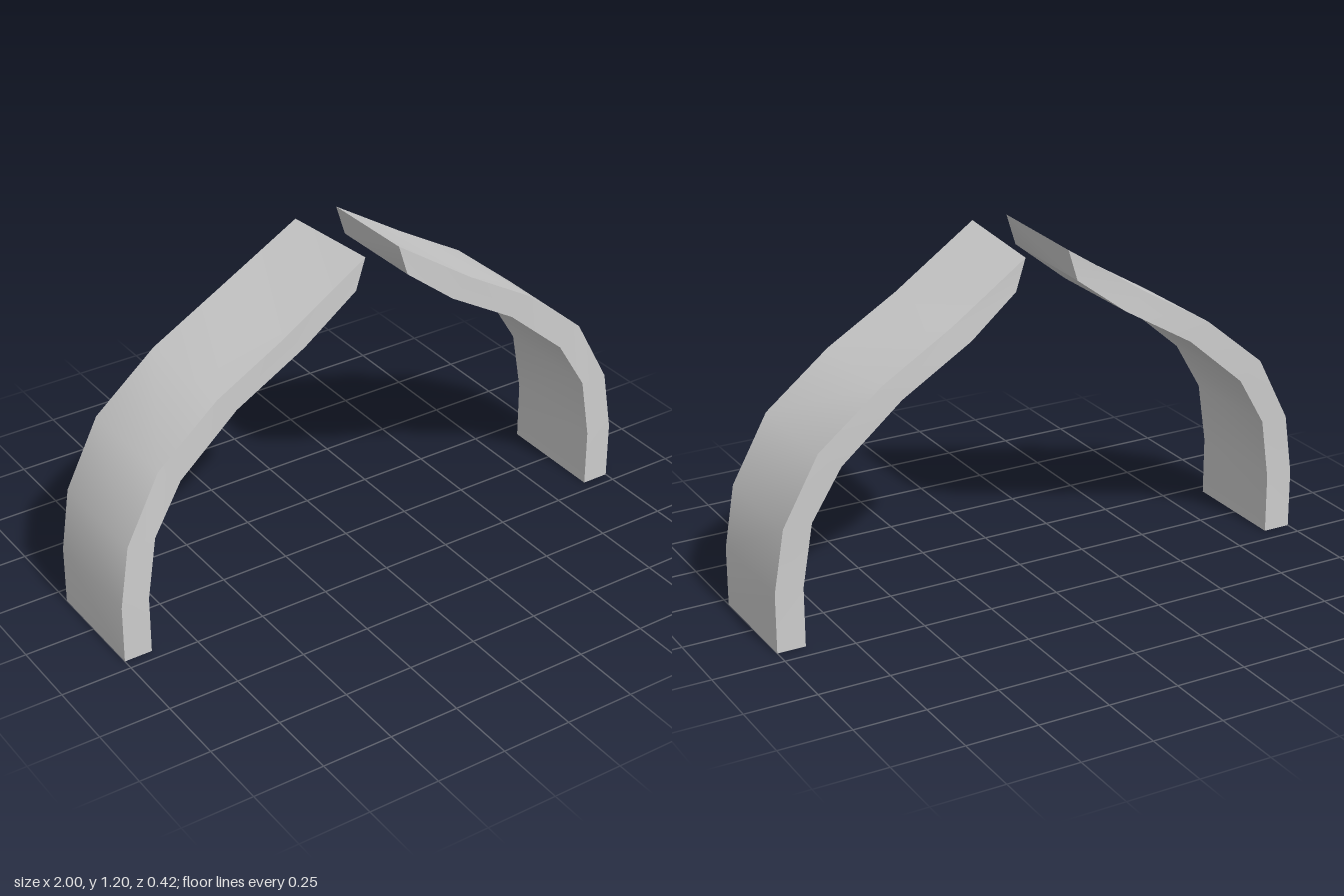
import * as THREE from 'three';
import { toCreasedNormals } from 'three/addons/utils/BufferGeometryUtils.js';

// Cross-sections from foot to tip: outer x, y, inner x, y, front z, back z
const SECTIONS = [
  [1.0, 0, 0.9, 0, 0.21, -0.19],
  [1.0, 0.21, 0.9, 0.21, 0.21, -0.19],
  [0.965, 0.43, 0.865, 0.43, 0.207, -0.195],
  [0.84, 0.665, 0.76, 0.605, 0.2, -0.203],
  [0.615, 0.85, 0.545, 0.79, 0.195, -0.207],
  [0.36, 1.0, 0.29, 0.94, 0.2, -0.2],
  [0.065, 1.2, 0.1, 1.09, 0.208, -0.178],
];

// One curved rectangular beam; side is +1 (left) or -1 (right)
function archHalf(side) {
  const positions = [];
  const indices = [];
  const tri = (a, b, c) => (side > 0 ? indices.push(a, b, c) : indices.push(a, c, b));
  const quad = (a, b, c, d) => { tri(a, b, c); tri(a, c, d); };
  const last = SECTIONS.length - 1;

  SECTIONS.forEach(([ox, oy, ix, iy, front, back], i) => {
    // the tip leans slightly outward and down at the back
    const dx = i === last ? 0.015 : 0;
    const dy = i === last ? -0.02 : 0;
    positions.push(
      side * ox, oy, front,
      side * (ox + dx), oy + dy, back,
      side * (ix + dx), iy + dy, back,
      side * ix, iy, front,
    );
  });

  for (let i = 0; i < last; i++) {
    for (let j = 0; j < 4; j++) {
      const k = (j + 1) % 4;
      quad(i * 4 + j, i * 4 + k, i * 4 + 4 + k, i * 4 + 4 + j);
    }
  }
  // foot and tip caps
  quad(3, 2, 1, 0);
  quad(last * 4, last * 4 + 1, last * 4 + 2, last * 4 + 3);

  const geometry = new THREE.BufferGeometry();
  geometry.setAttribute('position', new THREE.Float32BufferAttribute(positions, 3));
  geometry.setIndex(indices);
  return toCreasedNormals(geometry, 0.6);
}

export function createModel() {
  const group = new THREE.Group();
  group.name = 'splitArch';
  const material = new THREE.MeshStandardMaterial({ color: 0xcccccc });
  for (const [name, side] of [['leftArchHalf', 1], ['rightArchHalf', -1]]) {
    const mesh = new THREE.Mesh(archHalf(side), material);
    mesh.name = name;
    group.add(mesh);
  }
  return group;
}
